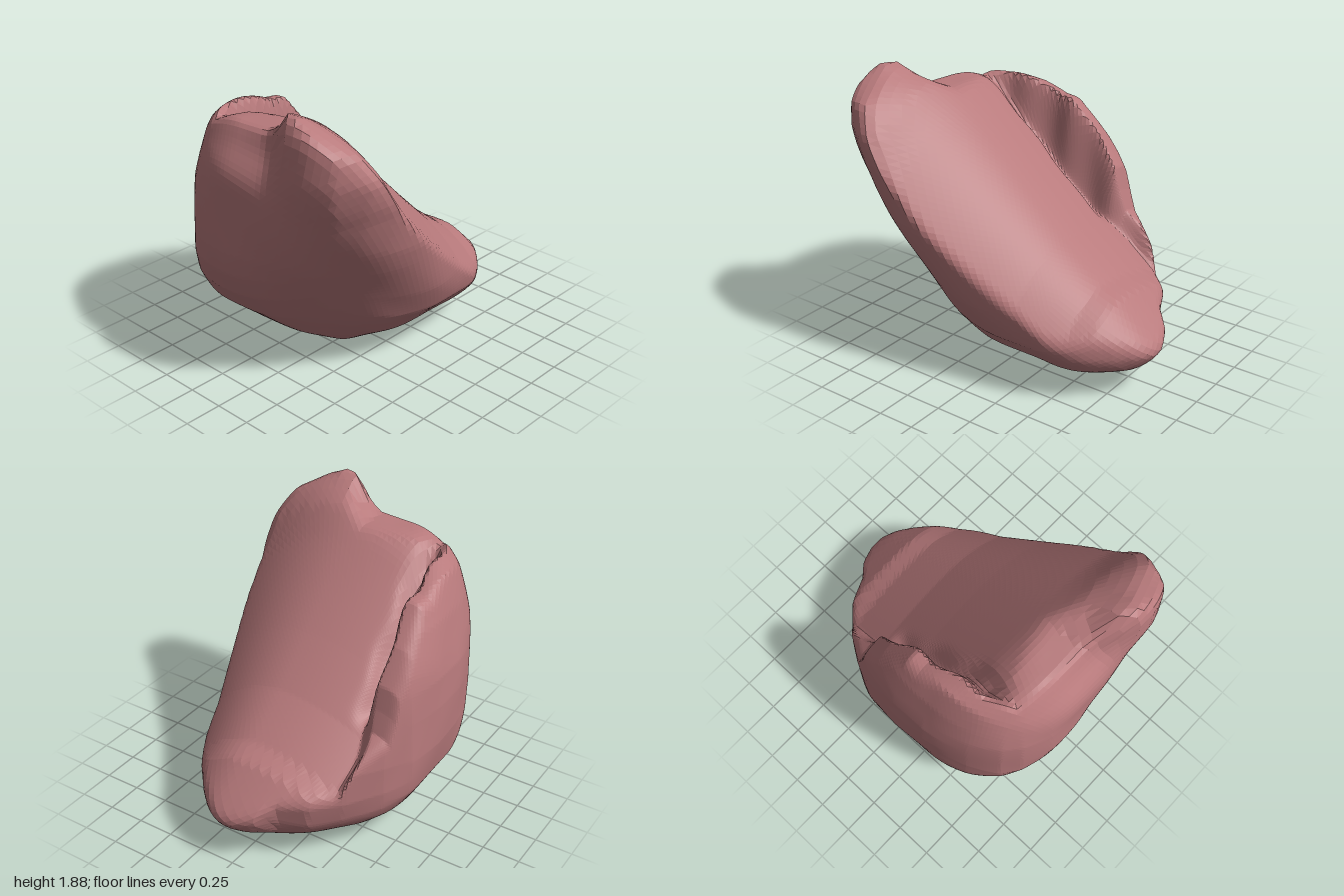
import * as THREE from 'three';
import { mergeVertices } from 'three/addons/utils/BufferGeometryUtils.js';

// Outlines of the boulder: front (x,y), side (z,y) and plan (x,z)
const frontOutline = [[-0.5, 1.68], [-0.65, 1.6], [-0.73, 1.4], [-0.82, 1.08], [-0.84, 0.88], [-0.835, 0.6], [-0.78, 0.35],
  [-0.7, 0.2], [-0.6, 0.1], [-0.43, 0.015], [-0.2, -0.01], [0.1, 0.015], [0.4, 0.19], [0.56, 0.36], [0.66, 0.58],
  [0.74, 0.8], [0.82, 1.02], [0.84, 1.38], [0.8, 1.54], [0.7, 1.71], [0.5, 1.82], [0.38, 1.88], [0.27, 1.87],
  [0.19, 1.75], [0.05, 1.68]];
const sideOutline = [[0.92, 2.3], [0.94, 1.88], [0.98, 1.75], [1, 1.5], [1, 0.9], [0.97, 0.75], [0.9, 0.57], [0.75, 0.37],
  [0.5, 0.16], [0.25, 0.03], [0.1, -0.01], [-0.45, -0.01], [-0.65, 0.05], [-0.9, 0.16], [-1.01, 0.28], [-1.05, 2.3]];
const planOutline = [[-0.35, 1], [0.5, 1], [0.68, 0.94], [0.8, 0.75], [0.84, 0.55], [0.81, 0.33], [0.72, 0.05],
  [0.62, -0.3], [0.6, -0.5], [0.48, -0.7], [0.36, -0.87], [0.25, -0.96], [0.12, -1.02], [0, -1], [-0.14, -0.94],
  [-0.22, -0.84], [-0.42, -0.78], [-0.58, -0.6], [-0.72, -0.37], [-0.8, -0.18], [-0.84, 0.1], [-0.83, 0.35],
  [-0.75, 0.65], [-0.67, 0.86], [-0.55, 0.96]];

// Outlines across the two diagonals: (x+z, y) and (x-z, y), both over root two
const diagonalA = [[0.2, -0.08], [0.39, 0.16], [0.65, 0.61], [0.8, 0.87], [1.01, 1.28], [1.18, 1.52], [1.2, 2.3],
  [-0.3, 2.3], [-0.5, 1.5], [-0.66, 1.2], [-0.79, 0.84], [-0.86, 0.65], [-0.86, 0.42], [-0.79, 0.28], [-0.62, 0.1],
  [-0.38, -0.08]];
const diagonalB = [[0.47, -0.08], [0.68, 0.08], [0.8, 0.18], [0.84, 0.3], [0.88, 2.3], [-0.7, 2.3],
  [-0.85, 1.68], [-0.92, 1.5], [-1, 1.23], [-1.06, 0.74], [-1, 0.37], [-0.85, 0.14], [-0.68, 0.01], [-0.45, -0.08]];

// Heights along z of the sloping face and of the raised side lump
const slope = [[-1.05, 0.28], [-0.9, 0.43], [-0.73, 0.59], [-0.6, 0.65], [-0.3, 0.88], [0, 1.16], [0.5, 1.64], [0.63, 1.76],
  [0.8, 1.85], [0.95, 1.98]];
const lump = [[-0.8, 0.45], [-0.6, 0.62], [-0.33, 0.84], [-0.28, 0.98], [-0.24, 1.13], [-0.1, 1.34], [0.1, 1.55],
  [0.2, 1.56], [0.5, 1.68], [0.8, 1.72]];

// Signed distance to a closed outline, negative inside
function outlineDistance(points, px, py) {
  let best = Infinity, inside = false;
  for (let i = 0, j = points.length - 1; i < points.length; j = i++) {
    const [ax, ay] = points[i], [bx, by] = points[j];
    const ex = bx - ax, ey = by - ay, wx = px - ax, wy = py - ay;
    const t = Math.min(1, Math.max(0, (wx * ex + wy * ey) / (ex * ex + ey * ey)));
    best = Math.min(best, (wx - ex * t) ** 2 + (wy - ey * t) ** 2);
    if ((ay > py) !== (by > py) && px < ax + ((py - ay) * ex) / ey) inside = !inside;
  }
  return inside ? -Math.sqrt(best) : Math.sqrt(best);
}

function heightAt(list, z) {
  if (z <= list[0][0]) return list[0][1];
  for (let i = 1; i < list.length; i++) {
    if (z <= list[i][0]) {
      const [z0, y0] = list[i - 1], [z1, y1] = list[i];
      return y0 + ((y1 - y0) * (z - z0)) / (z1 - z0);
    }
  }
  return list[list.length - 1][1];
}

const smoothMax = (a, b, k) => Math.max(a, b) + Math.max(k - Math.abs(a - b), 0) ** 2 / (4 * k);
const step = THREE.MathUtils.smoothstep;

// Upper surface: domed slope, lump along one side and a crease between them
function topHeight(x, z) {
  const crest = 0.1 + 0.25 * step(z, 0.45, 0.9);
  const half = x > crest ? 0.62 + 0.18 * z : 0.95;
  let y = heightAt(slope, z) - 0.34 * Math.min(1.3, Math.abs(x - crest) / half) ** 2;
  const fold = -0.5 + 0.06 * z + 0.012 * Math.sin(z * 19);
  const along = step(z, -0.3, -0.1) * (1 - step(z, 0.55, 0.72));
  y -= 0.08 * along * Math.exp(-(((x - fold - 0.03) / 0.06) ** 2));
  const lumpY = heightAt(lump, z) - 1.6 * Math.min(0, x + 0.57) ** 2;
  return y + Math.max(0, lumpY - y) * step(fold - x, -0.01, 0.08);
}

// Solid: rounded meeting of the outlines, cut by the upper surface
function solid(x, y, z) {
  const round = 0.01 + 0.27 * step(y, -0.02, 0.3) * (1 - 0.85 * step(y, 1.45, 1.75));
  // the upper front wall leans back beside the peak
  const lean = z > 0 ? 0.14 * step(y, 1.3, 1.7) * (1 - step(x, 0.1, 0.38)) : 0;
  let d = smoothMax(outlineDistance(frontOutline, x, y), outlineDistance(sideOutline, z + lean, y), round);
  d = smoothMax(d, outlineDistance(planOutline, x, z), 0.06);
  d = smoothMax(d, outlineDistance(diagonalA, (x + z) * Math.SQRT1_2, y) - 0.035, 0.24);
  d = smoothMax(d, outlineDistance(diagonalB, (x - z) * Math.SQRT1_2, y) - 0.035, 0.2) - 0.012;
  // weathered unevenness
  d += 0.006 * Math.sin(9 * x + 4 * y) * Math.sin(8 * z - 5 * y + 1);
  return smoothMax(d, 0.75 * (y - topHeight(x, z)), 0.04);
}

function boulderGeometry() {
  const ball = new THREE.IcosahedronGeometry(1, 44);
  ball.deleteAttribute('normal');
  ball.deleteAttribute('uv');
  const geometry = mergeVertices(ball);
  const pos = geometry.attributes.position;
  // centre lies below the lump so that both sides of the crease are reached
  const centre = new THREE.Vector3(-0.59, 0.6, 0.2);
  const dir = new THREE.Vector3(), p = new THREE.Vector3();
  // push every vertex out along its ray until it meets the surface
  for (let i = 0; i < pos.count; i++) {
    dir.fromBufferAttribute(pos, i).normalize();
    let lo = 0, hi = 0.03;
    while (hi < 2.4 && solid(...p.copy(centre).addScaledVector(dir, hi)) < 0) {
      lo = hi;
      hi += 0.03;
    }
    for (let n = 0; n < 9; n++) {
      const mid = (lo + hi) / 2;
      if (solid(...p.copy(centre).addScaledVector(dir, mid)) < 0) lo = mid;
      else hi = mid;
    }
    p.copy(centre).addScaledVector(dir, lo);
    pos.setXYZ(i, p.x, p.y, p.z);
  }
  geometry.computeVertexNormals();
  return geometry;
}

export function createModel() {
  const group = new THREE.Group();
  group.name = 'boulder';
  const stone = new THREE.MeshStandardMaterial({ color: 0xb87a7c, flatShading: true });
  const mesh = new THREE.Mesh(boulderGeometry(), stone);
  mesh.name = 'slopedStone';
  group.add(mesh);
  return group;
}
